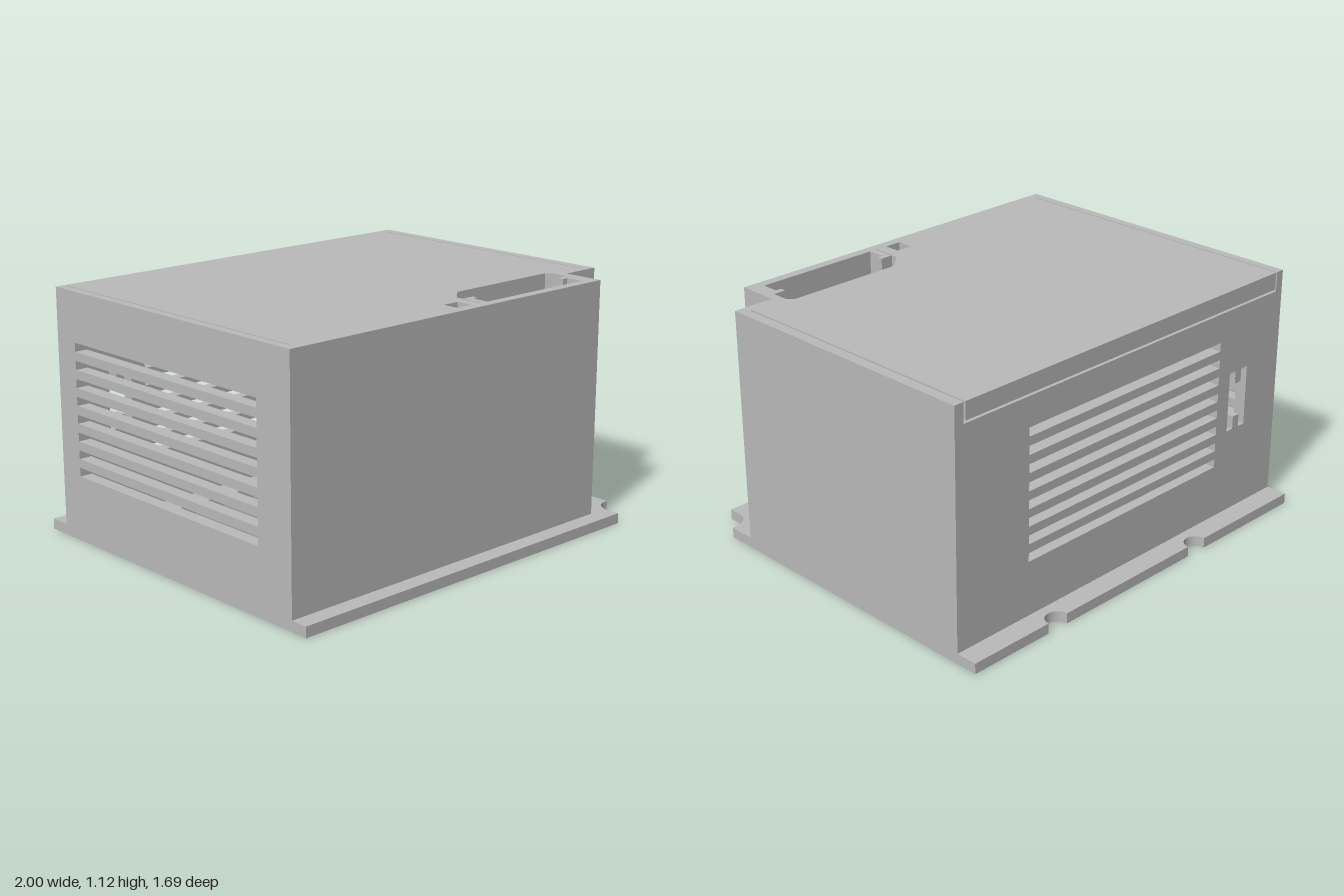
import * as THREE from 'three';

const grey = new THREE.MeshStandardMaterial({ color: 0xbababa });
grey.name = 'grey plastic';

const H = 1.125;        // overall height
const PLATE = 0.048;    // base flange thickness
const LEDGE = 1.035;    // top of the vented walls, just below the lid

const poly = (pts, Type = THREE.Shape) => new Type(pts.map(p => new THREE.Vector2(p[0], p[1])));
const rect = (x0, y0, x1, y1, Type = THREE.Path) => poly([[x0, y0], [x1, y0], [x1, y1], [x0, y1]], Type);

function extrude(shape, depth) {
  return new THREE.ExtrudeGeometry(shape, { depth, bevelEnabled: false, curveSegments: 20 });
}

export function createModel() {
  const group = new THREE.Group();
  const add = (name, geometry) => {
    const mesh = new THREE.Mesh(geometry, grey);
    mesh.name = name;
    group.add(mesh);
  };
  // Raises a plan drawn in (x, z) from y0 to y1
  const slab = (name, shape, y0, y1) =>
    add(name, extrude(shape, y1 - y0).rotateX(Math.PI / 2).translate(0, y1, 0));

  // Base flange outline with two rear notches and a scooped front corner
  function basePlan() {
    const s = new THREE.Shape();
    s.moveTo(-1, -0.845);
    for (const x of [-0.355, 0.53]) {
      s.lineTo(x - 0.055, -0.845);
      s.absarc(x, -0.845, 0.055, Math.PI, 0, true);
    }
    s.lineTo(1, -0.845);
    s.lineTo(1, 0.702);
    s.absarc(0.985, 0.785, 0.083, -Math.PI / 2, -Math.PI, true);
    s.lineTo(0.902, 0.845);
    s.lineTo(-1, 0.845);
    s.holes.push(rect(-0.67, -0.57, 0.82, 0.18));
    return s;
  }

  // Underside has blind screw holes, the layer above closes them
  const underside = basePlan();
  for (const [x, z] of [[0.88, -0.63], [0.88, 0.24], [-0.73, -0.63], [-0.73, 0.24], [-0.81, 0.465]]) {
    const hole = new THREE.Path();
    hole.absarc(x, z, 0.05, 0, Math.PI * 2, false);
    underside.holes.push(hole);
  }
  slab('baseUnderside', underside, 0, 0.04);
  slab('basePlate', basePlan(), 0.04, PLATE);

  // Deep socket that opens through the roof
  const socket = () => poly([
    [0.093, 0.58], [0.176, 0.505], [0.743, 0.505], [0.765, 0.53], [0.765, 0.612], [0.705, 0.612],
    [0.705, 0.64], [0.733, 0.64], [0.733, 0.72], [0.128, 0.72], [0.128, 0.64], [0.155, 0.64],
    [0.155, 0.612], [0.093, 0.612]], THREE.Path);

  // Front wall, stepped corner, socket housing and right-hand wall in one run
  const shell = poly([
    [-1, 0.765], [0.807, 0.765], [0.807, 0.575], [1, 0.575], [1, -0.69], [0.94, -0.69],
    [0.94, 0.455], [0.155, 0.455], [0.05, 0.55], [0.05, 0.7], [-1, 0.7]]);
  shell.holes.push(socket());
  slab('frontAndSideWall', shell, PLATE, LEDGE);

  // Eight horizontal ventilation slots
  const addVents = (shape, u0, u1) => {
    for (let i = 0; i < 8; i++) {
      const y = 0.3 + i * 0.08;
      shape.holes.push(rect(u0, y, u1, y + 0.04));
    }
  };

  // Vented side wall
  const side = rect(-0.69, PLATE, 0.7, LEDGE, THREE.Shape);
  addVents(side, -0.62, 0.57);
  add('ventedSideWall', extrude(side, 0.06).rotateY(-Math.PI / 2).translate(-0.94, 0, 0));

  // Vented back wall with an H-shaped connector cut-out
  const back = rect(-1, PLATE, 1, LEDGE, THREE.Shape);
  addVents(back, -0.583, 0.6);
  back.holes.push(poly([
    [-0.78, 0.45], [-0.74, 0.45], [-0.74, 0.51], [-0.7, 0.51], [-0.7, 0.45], [-0.66, 0.45],
    [-0.66, 0.73], [-0.7, 0.73], [-0.7, 0.67], [-0.74, 0.67], [-0.74, 0.73], [-0.78, 0.73]], THREE.Path));
  add('ventedBackWall', extrude(back, 0.055).translate(0, 0, -0.745));

  // Thin rim under the roof, open at the back to leave the lid gap
  const rim = poly([
    [-1, -0.745], [-0.958, -0.745], [-0.958, 0.72], [0.05, 0.72], [0.05, 0.55], [0.155, 0.455],
    [0.953, 0.455], [0.953, -0.745], [1, -0.745], [1, 0.575], [0.807, 0.575], [0.807, 0.765], [-1, 0.765]]);
  rim.holes.push(socket());
  slab('lidRim', rim, LEDGE, 1.045);

  // Roof with narrow lid slits running in from the back
  const roof = poly([
    [-1, -0.745], [-0.959, -0.745], [-0.959, 0.718], [-0.951, 0.718], [-0.951, -0.745],
    [0.943, -0.745], [0.943, 0.53], [0.953, 0.53], [0.953, -0.745], [1, -0.745],
    [1, 0.575], [0.807, 0.575], [0.807, 0.765], [-1, 0.765]]);
  roof.holes.push(socket(), rect(-0.048, 0.64, 0.033, 0.718), rect(0.086, 0.622, 0.095, 0.718));
  slab('roof', roof, 1.045, H);

  return group;
}
